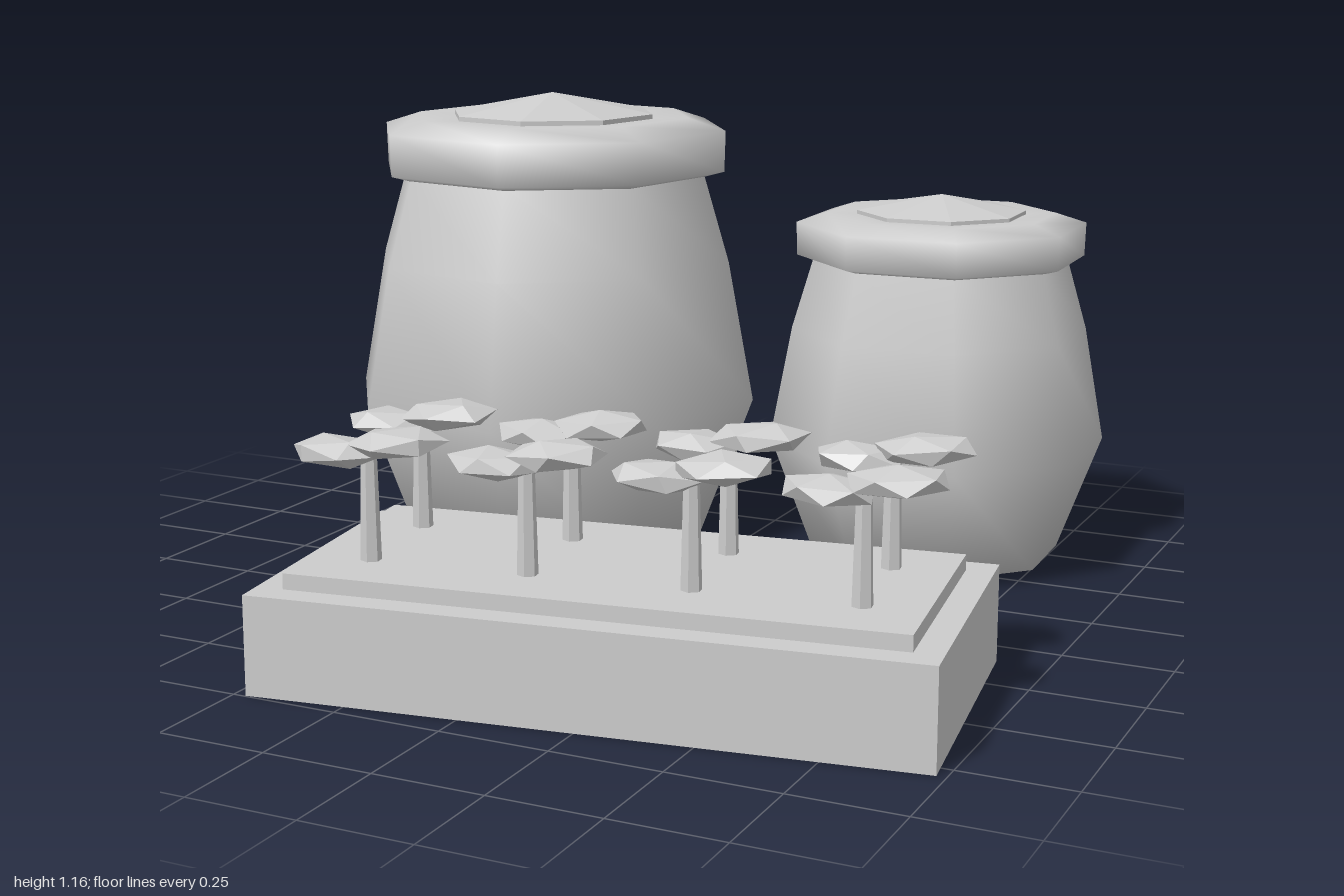
import * as THREE from 'three';

const stone = new THREE.MeshStandardMaterial({ color: 0xcccccc });
stone.name = 'pale grey';
const facetedStone = stone.clone();
facetedStone.name = 'pale grey faceted';
facetedStone.flatShading = true;

function add(parent, name, geometry, material, x = 0, y = 0, z = 0) {
  const mesh = new THREE.Mesh(geometry, material);
  mesh.name = name;
  mesh.position.set(x, y, z);
  parent.add(mesh);
  return mesh;
}

const lathe = (pts) => new THREE.LatheGeometry(pts.map(([r, y]) => new THREE.Vector2(r, y)), 8);

// Eight-sided jar with thick rim and shallow conical lid
function makeJar(name) {
  const jar = new THREE.Group();
  jar.name = name;
  add(jar, 'jarBody', lathe([[0, 0], [0.392, 0.04], [0.525, 0.39], [0.46, 0.74], [0.395, 0.96]]), stone);
  add(jar, 'jarRim', lathe([[0.36, 0.955], [0.4, 0.955], [0.447, 0.968], [0.45, 1.07], [0.355, 1.1], [0.25, 1.095]]), stone);
  add(jar, 'jarLid', lathe([[0.262, 1.085], [0.262, 1.107], [0, 1.157]]).toNonIndexed(), facetedStone);
  return jar;
}

// Thin trunk with two overlapping flattened crowns
function makeTree(index) {
  const tree = new THREE.Group();
  tree.name = 'tree';
  add(tree, 'trunk', new THREE.CylinderGeometry(0.017, 0.023, 0.25, 6), facetedStone, 0, 0.125, 0);
  for (const [name, x, y, z, size, turn] of [
    ['lowerCrown', -0.072, 0.24, 0.005, 0.95, 0.4],
    ['upperCrown', 0.068, 0.268, 0.005, 1.03, 1.9],
  ]) {
    const crown = new THREE.IcosahedronGeometry(1, 0);
    crown.rotateX(0.35 + index * 0.7);
    crown.rotateY(turn + index * 1.3);
    crown.scale(0.112 * size, 0.034, 0.083 * size);
    crown.rotateZ(name === 'upperCrown' ? 0.06 : -0.04);
    add(tree, name, crown, facetedStone, x, y, z);
  }
  return tree;
}

export function createModel() {
  const model = new THREE.Group();
  model.name = 'jarsAndPlanter';

  const largeJar = makeJar('largeJar');
  largeJar.position.set(-0.47, 0, -0.385);
  largeJar.rotation.y = 0.19;
  const smallJar = makeJar('smallJar');
  smallJar.position.set(0.493, 0, -0.608);
  smallJar.rotation.y = 0.43;
  smallJar.scale.set(0.792, 0.8, 0.792);
  model.add(largeJar, smallJar);

  // Stepped planter, slightly turned
  const planter = new THREE.Group();
  planter.name = 'planter';
  planter.position.set(0.205, 0, 0.548);
  planter.rotation.y = 0.14;
  add(planter, 'planterBase', new THREE.BoxGeometry(1.465, 0.22, 0.7), facetedStone, 0, 0.11, 0);
  add(planter, 'planterBed', new THREE.BoxGeometry(1.34, 0.045, 0.575), facetedStone, 0, 0.2325, 0);

  // Two rows of four trees
  for (let row = 0; row < 2; row++) {
    for (let i = 0; i < 4; i++) {
      const tree = makeTree(row * 4 + i);
      tree.position.set(-0.535 + i * 0.357, 0.25, row ? 0.137 : -0.142);
      planter.add(tree);
    }
  }
  model.add(planter);
  return model;
}
